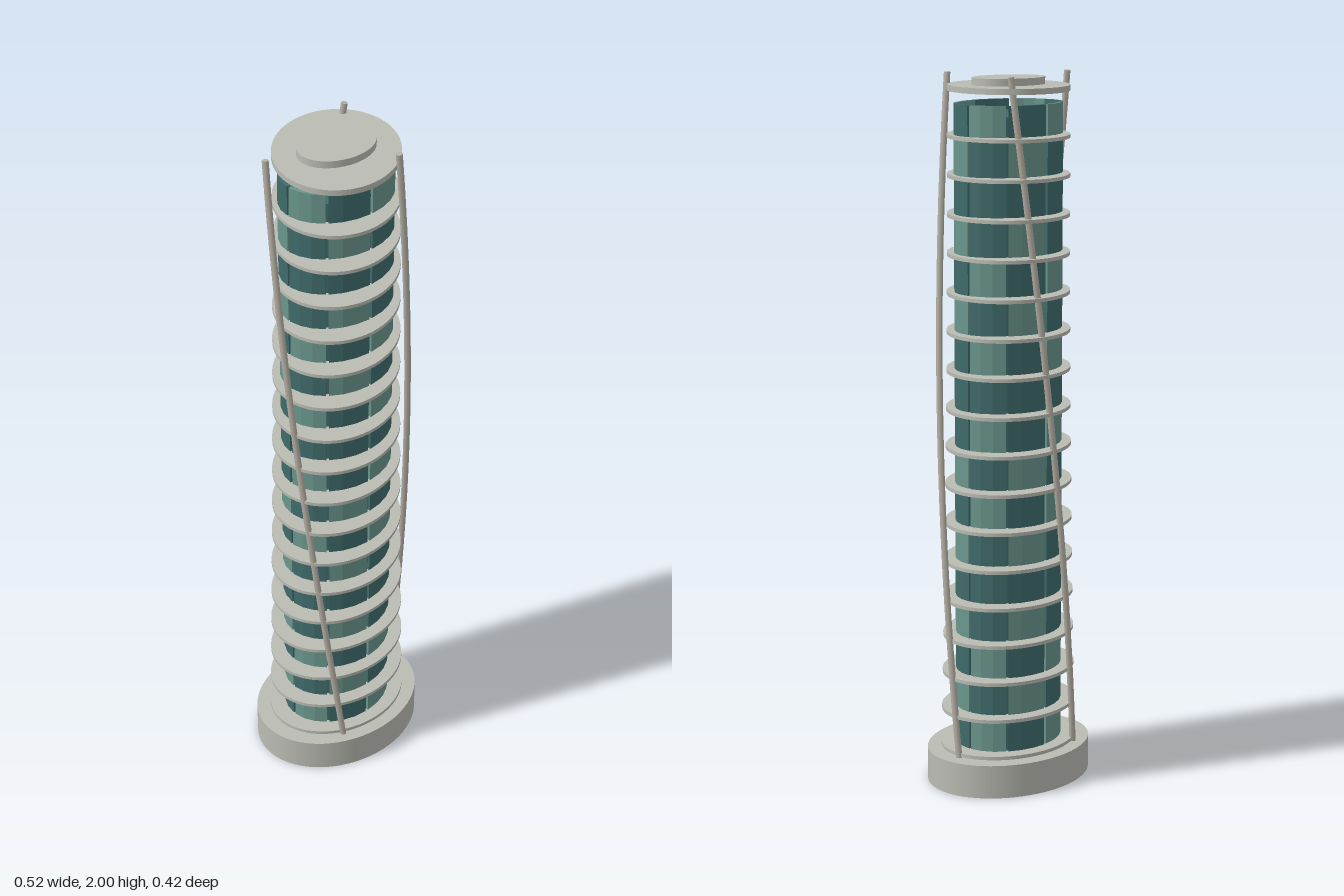
import * as THREE from 'three';
import { mergeGeometries } from 'three/addons/utils/BufferGeometryUtils.js';

const FLOORS = 17, STEP = 0.108, FIRST = 0.103;
const TWIST = Math.PI / 4;

export function createModel() {
  const tower = new THREE.Group();
  tower.name = 'tower';
  const mat = (name, color) => {
    const m = new THREE.MeshStandardMaterial({ color });
    m.name = name;
    return m;
  };
  const concrete = mat('concrete', 0xbabcb3);
  const steel = mat('steel', 0xb5b0a5);
  const lightGlass = mat('lightGlass', 0x6a968c);
  const darkGlass = mat('darkGlass', 0x406b6b);

  const add = (name, geometry, material) => {
    const mesh = new THREE.Mesh(geometry, material);
    mesh.name = name;
    tower.add(mesh);
    return mesh;
  };

  // Upright elliptical disc between two heights
  const disc = (name, rx, rz, y0, y1, material, turn = 0, sides = 64) => {
    const g = new THREE.CylinderGeometry(1, 1, y1 - y0, sides);
    g.scale(rx, 1, rz).rotateY(turn).translate(0, (y0 + y1) / 2, 0);
    return add(name, g, material);
  };

  // Plinth and inner core
  disc('base', 0.26, 0.208, 0, 0.095, concrete);
  disc('core', 0.16, 0.128, 0.09, 1.89, darkGlass, 0, 24);

  // Floor slabs, each turned a little more than the one below
  for (let f = 0; f < FLOORS; f++) {
    const y = FIRST + f * STEP;
    const s = 1 - 0.02 * f / FLOORS;
    disc('floorSlab', 0.216 * s, 0.173 * s, y - 0.005, y + 0.005, concrete, TWIST * f / FLOORS);
  }

  // Curved glass panel: a thin three-facet arc drawn in plan and raised
  const panel = (index, y, height) => {
    const width = Math.PI / 4, gap = 0.025, outer = [], inner = [];
    for (let i = 0; i <= 3; i++) {
      const a = index * width + gap + (width - 2 * gap) * i / 3;
      outer.push(new THREE.Vector2(0.168 * Math.cos(a), 0.136 * Math.sin(a)));
      inner.unshift(new THREE.Vector2(0.158 * Math.cos(a), 0.126 * Math.sin(a)));
    }
    const g = new THREE.ExtrudeGeometry(new THREE.Shape([...outer, ...inner]), {
      depth: height, bevelEnabled: false,
    });
    return g.rotateX(-Math.PI / 2).translate(0, y, 0);
  };

  // Chequered facade, with every fifth floor all dark
  const light = [], dark = [];
  for (let f = 0; f < FLOORS; f++) {
    const height = f === FLOORS - 1 ? 0.085 : STEP - 0.01;
    for (let p = 0; p < 8; p++) {
      const isLight = f % 5 !== 4 && (f + p) % 2 === 0;
      (isLight ? light : dark).push(panel(p, FIRST + f * STEP + 0.005, height));
    }
  }
  add('lightPanels', mergeGeometries(light), lightGlass);
  add('darkPanels', mergeGeometries(dark), darkGlass);

  // Roof disc and cap
  disc('roof', 0.212, 0.169, 1.954, 1.97, concrete, TWIST);
  disc('roofCap', 0.115, 0.089, 1.97, 1.99, concrete);

  // Three rods winding up around the slabs
  for (let r = 0; r < 3; r++) {
    const points = [];
    for (let i = 0; i <= 16; i++) {
      const k = i / 16;
      const a = r * Math.PI * 2 / 3 + k * Math.PI * 0.4;
      points.push(new THREE.Vector3(0.215 * Math.cos(a), 0.09 + 1.91 * k, 0.174 * Math.sin(a)));
    }
    const curve = new THREE.CatmullRomCurve3(points);
    add('spiralRod', new THREE.TubeGeometry(curve, 40, 0.009, 8), steel);
    // Rod end cap
    const cap = add('rodEnd', new THREE.CircleGeometry(0.009, 8), steel);
    cap.position.copy(points[16]);
    cap.quaternion.setFromUnitVectors(new THREE.Vector3(0, 0, 1), curve.getTangent(1));
  }

  return tower;
}
